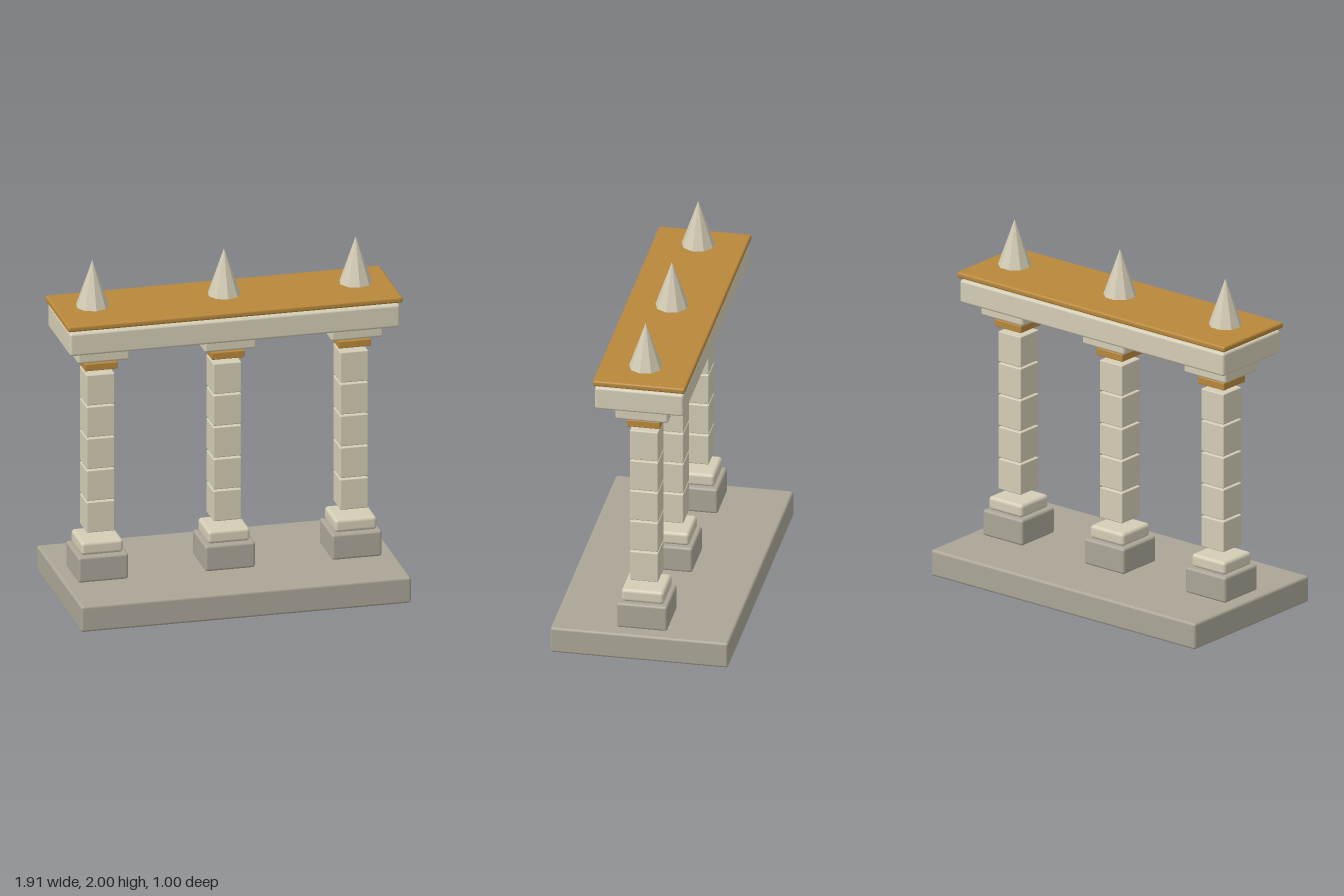
import * as THREE from 'three';
import { RoundedBoxGeometry } from 'three/addons/geometries/RoundedBoxGeometry.js';

const paleStone = new THREE.MeshStandardMaterial({ color: 0xd3ccb5 });
paleStone.name = 'paleStone';
const greyStone = new THREE.MeshStandardMaterial({ color: 0xaaa596 });
greyStone.name = 'greyStone';
const gold = new THREE.MeshStandardMaterial({ color: 0xb8873a });
gold.name = 'gold';

// Softly bevelled block spanning y0 to y1
function block(name, width, y0, y1, depth, radius, material) {
  const geometry = new RoundedBoxGeometry(width, y1 - y0, depth, 3, radius);
  const mesh = new THREE.Mesh(geometry, material);
  mesh.name = name;
  mesh.position.y = (y0 + y1) / 2;
  return mesh;
}

// Square column: footing, stacked shaft blocks, collar and capital
function column(x) {
  const group = new THREE.Group();
  group.name = 'column';
  group.position.x = x;
  group.add(
    block('columnPlinth', 0.285, 0.153, 0.304, 0.285, 0.015, greyStone),
    block('columnCushion', 0.24, 0.304, 0.381, 0.24, 0.02, paleStone)
  );
  for (let i = 0; i < 5; i++) {
    const y = 0.422 + i * 0.1875;
    group.add(block('shaftBlock', 0.16, y, y + 0.179, 0.16, 0.006, paleStone));
  }
  group.add(
    block('collar', 0.186, 1.38, 1.422, 0.186, 0.005, gold),
    block('capital', 0.298, 1.447, 1.56, 0.298, 0.015, paleStone)
  );
  return group;
}

// Faceted roof spike
function spike(x) {
  const geometry = new THREE.ConeGeometry(0.093, 0.27, 9).toNonIndexed();
  geometry.computeVertexNormals();
  const mesh = new THREE.Mesh(geometry, paleStone);
  mesh.name = 'spike';
  mesh.position.set(x, 1.865, 0);
  return mesh;
}

export function createModel() {
  const model = new THREE.Group();
  model.name = 'colonnade';

  model.add(block('base', 1.88, 0, 0.153, 1, 0.015, greyStone));
  for (const side of [-1, 0, 1]) model.add(column(side * 0.722), spike(side * 0.75));
  model.add(
    block('lintel', 1.88, 1.535, 1.67, 0.5, 0.015, paleStone),
    block('roofSlab', 1.907, 1.682, 1.716, 0.52, 0.012, gold)
  );
  return model;
}
